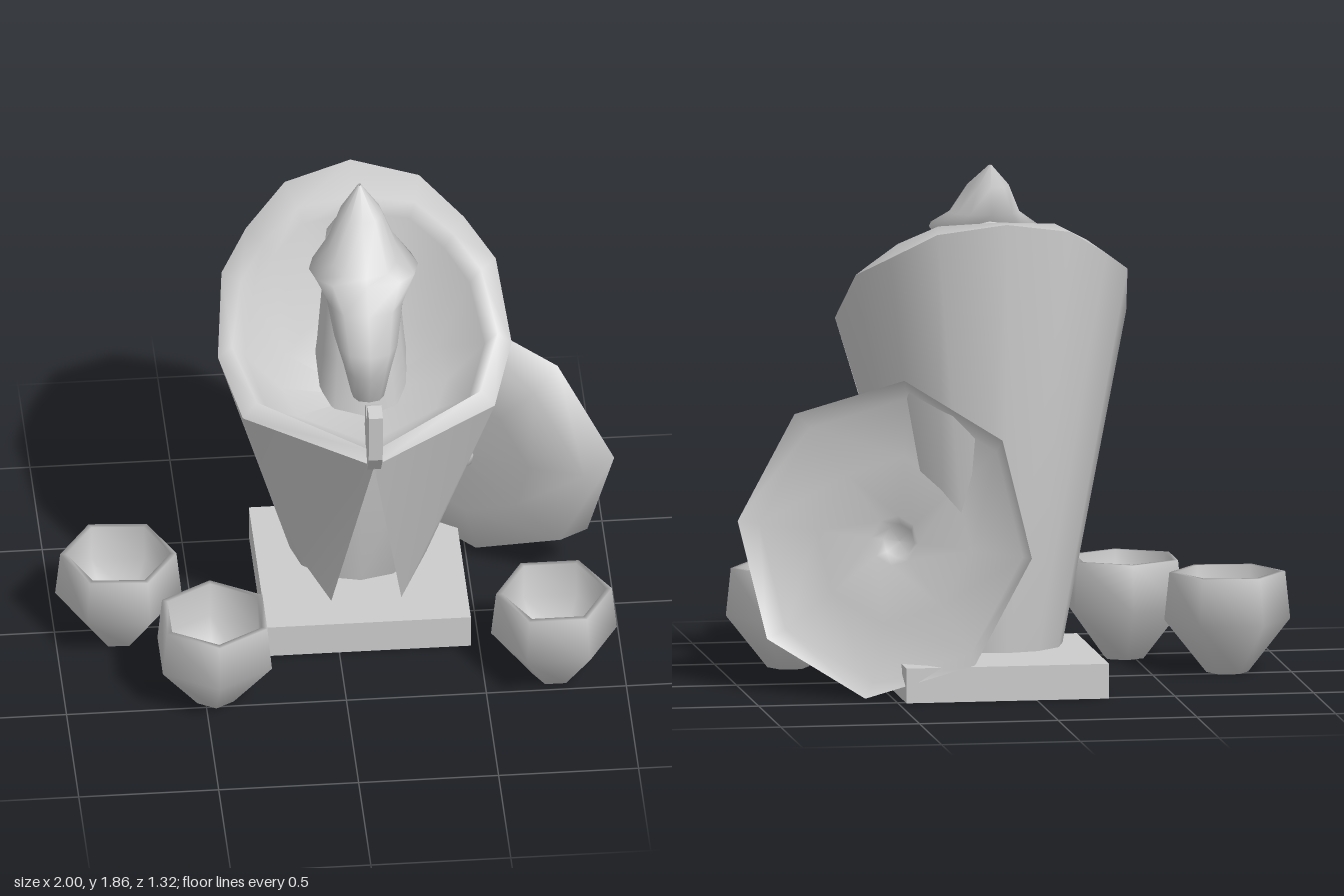
import * as THREE from 'three';

const material = new THREE.MeshStandardMaterial({ color: 0xcccccc, side: THREE.DoubleSide });

// Surface through rows of [x, y, z] points, listed from bottom to top
function loft(rows, closed = true) {
  const n = rows[0].length;
  const index = [];
  for (let i = 0; i < rows.length - 1; i++) {
    for (let j = 0; j < (closed ? n : n - 1); j++) {
      const a = i * n + j, b = i * n + (j + 1) % n;
      index.push(a, a + n, b, b, a + n, b + n);
    }
  }
  const geometry = new THREE.BufferGeometry();
  geometry.setAttribute('position', new THREE.Float32BufferAttribute(rows.flat(2), 3));
  geometry.setIndex(index);
  geometry.computeVertexNormals();
  return geometry;
}

// Completes a half ring running back to front with its mirrored half
const mirrorRing = (half) => [
  ...half, ...half.slice(1, -1).reverse().map(([x, y, z]) => [-x, y, z]),
];

// Rounded section ring from its back point to its front point
const sectionRing = ([fz, fy, bz, by, w]) => Array.from({ length: 12 }, (_, i) => {
  const t = i * Math.PI / 6, s = Math.sin(t), k = (1 - Math.cos(t)) / 2;
  return [w * Math.sign(s) * Math.abs(s) ** 0.7, by + (fy - by) * k, bz + (fz - bz) * k];
});

function add(parent, name, geometry, x = 0, y = 0, z = 0) {
  const mesh = new THREE.Mesh(geometry, material);
  mesh.name = name;
  mesh.position.set(x, y, z);
  parent.add(mesh);
  return mesh;
}

const lathe = (points, sides) =>
  new THREE.LatheGeometry(points.map(([r, y]) => new THREE.Vector2(r, y)), sides);

function createFigure() {
  const figure = new THREE.Group();
  figure.name = 'hoodedFigure';

  // Slanted collar: outer edge and higher inner ridge, back to front
  const rim = [
    [0, 1.7, -0.43], [0.24, 1.66, -0.37], [0.39, 1.56, -0.24], [0.49, 1.48, -0.09],
    [0.525, 1.29, 0.16], [0.45, 1.14, 0.33], [0, 1.06, 0.55],
  ];
  const ridge = [
    [0, 1.68, -0.24], [0.21, 1.665, -0.2], [0.34, 1.59, -0.1], [0.43, 1.5, 0],
    [0.475, 1.34, 0.17], [0.4, 1.2, 0.32], [0, 1.11, 0.53],
  ];
  const bottom = rim.map((_, i) => {
    const t = i * Math.PI / 6;
    return [0.235 * Math.sin(t), 0.16, -0.22 - 0.22 * Math.cos(t)];
  });

  // Robe: the front stays narrow behind the open flaps
  const robeTop = [...rim.slice(0, 5), [0.28, 0.98, 0.05], [0, 0.98, 0.05]];
  add(figure, 'robe', loft([
    bottom.map(([, y]) => [0, y, -0.22]), bottom, robeTop,
  ].map(mirrorRing)));

  // Two pointed flaps that part below the hands
  const hem = [[0.285, 0.43, -0.045], [0.225, 0.345, 0.1], [0.125, 0.24, 0.225]];
  for (const side of [1, -1]) {
    const rows = [hem, rim.slice(4)].map((row) => {
      const points = row.map(([x, y, z]) => [x * side, y, z]);
      return side > 0 ? points : points.reverse();
    });
    add(figure, side > 0 ? 'leftFlap' : 'rightFlap', loft(rows, false));
  }

  // Thick collar rolling into the hollow of the hood
  add(figure, 'hood', loft([
    rim,
    ridge,
    ridge.map(([x, y, z]) => [x * 0.9, y - 0.05, 0.07 + (z - 0.07) * 0.9]),
    ridge.map(([x, y, z]) => [x * 0.62, 1.03 + (y - 1.11) * 0.4, 0.07 + (z - 0.07) * 0.65]),
    ridge.map(() => [0, 1.02, 0.07]),
  ].map(mirrorRing)));

  // Neck column, flaring down into the hood; front z, front y, back z, back y, half width
  add(figure, 'neck', loft([
    [0.2, 1.0, -0.22, 1.0, 0.18], [0.16, 1.22, -0.18, 1.25, 0.155],
    [0.12, 1.45, -0.17, 1.5, 0.135], [0.08, 1.58, -0.17, 1.655, 0.125],
    [0, 1.62, -0.06, 1.66, 0.01],
  ].map(sectionRing)));

  // Head from chin to peak, same section order
  add(figure, 'head', loft([
    [0.33, 1.19, 0.3, 1.19, 0.01], [0.355, 1.2, 0.23, 1.21, 0.06],
    [0.4, 1.33, 0.13, 1.29, 0.085], [0.395, 1.42, 0.06, 1.4, 0.115],
    [0.325, 1.55, 0, 1.54, 0.14], [0.25, 1.63, -0.04, 1.61, 0.195],
    [0.24, 1.66, -0.1, 1.685, 0.125], [0.07, 1.78, -0.08, 1.78, 0.075],
    [-0.05, 1.86, -0.065, 1.86, 0.005],
  ].map(sectionRing)));

  // Joined hands, outlined in side profile and extruded across
  const outline = [
    [0.54, 1.04], [0.61, 1.13], [0.62, 1.32], [0.56, 1.335], [0.535, 1.27],
    [0.515, 1.23], [0.5, 1.285], [0.465, 1.27], [0.445, 1.17],
  ];
  const hands = new THREE.ExtrudeGeometry(
    new THREE.Shape(outline.map(([z, y]) => new THREE.Vector2(-z, y))),
    { depth: 0.05, bevelEnabled: false });
  hands.translate(0, 0, -0.025).rotateY(Math.PI / 2);
  add(figure, 'hands', hands);

  figure.position.x = 0.095;
  return figure;
}

// Eight-sided dished shield leaning behind the figure
function createShield() {
  const shield = new THREE.Group();
  shield.name = 'shield';
  add(shield, 'shieldFront', lathe([[0, -0.115], [0.3, -0.11], [0.51, -0.085], [0.57, 0.035]], 8));
  add(shield, 'shieldBack', lathe([
    [0.57, 0.035], [0.51, -0.025], [0.3, -0.055], [0.09, -0.06], [0.06, -0.1], [0, -0.105],
  ], 8));
  const dome = new THREE.SphereGeometry(0.08, 10, 5, 0, Math.PI * 2, Math.PI / 2, Math.PI / 2);
  add(shield, 'shieldBoss', dome, 0, -0.112, 0).scale.y = 0.7;

  const across = new THREE.Vector3(0.853, 0, 0.522);
  const tilt = THREE.MathUtils.degToRad(10);
  const normal = new THREE.Vector3(0.522 * Math.cos(tilt), Math.sin(tilt), -0.853 * Math.cos(tilt));
  const up = new THREE.Vector3().crossVectors(across, normal);
  shield.quaternion.setFromRotationMatrix(new THREE.Matrix4().makeBasis(across, normal, up));
  shield.rotateY(-0.06);
  shield.position.set(0.505, 0.56, -0.33);
  return shield;
}

export function createModel() {
  const model = new THREE.Group();
  model.name = 'shrine';

  add(model, 'plinth', new THREE.BoxGeometry(0.73, 0.125, 0.73), 0.105, 0.0625, -0.155);
  model.add(createFigure(), createShield());

  // Three six-sided cups
  const cup = lathe([
    [0, 0], [0.075, 0], [0.225, 0.19], [0.207, 0.36],
    [0.185, 0.36], [0.19, 0.22], [0.11, 0.1], [0, 0.06],
  ], 6);
  const places = [[-0.775, 0.04, 0.45], [-0.465, 0.435, 0], [0.75, 0.4, Math.PI / 6]];
  places.forEach(([x, z, turn], i) => {
    add(model, `cup${i + 1}`, cup, x, 0, z).rotation.y = turn;
  });
  return model;
}
